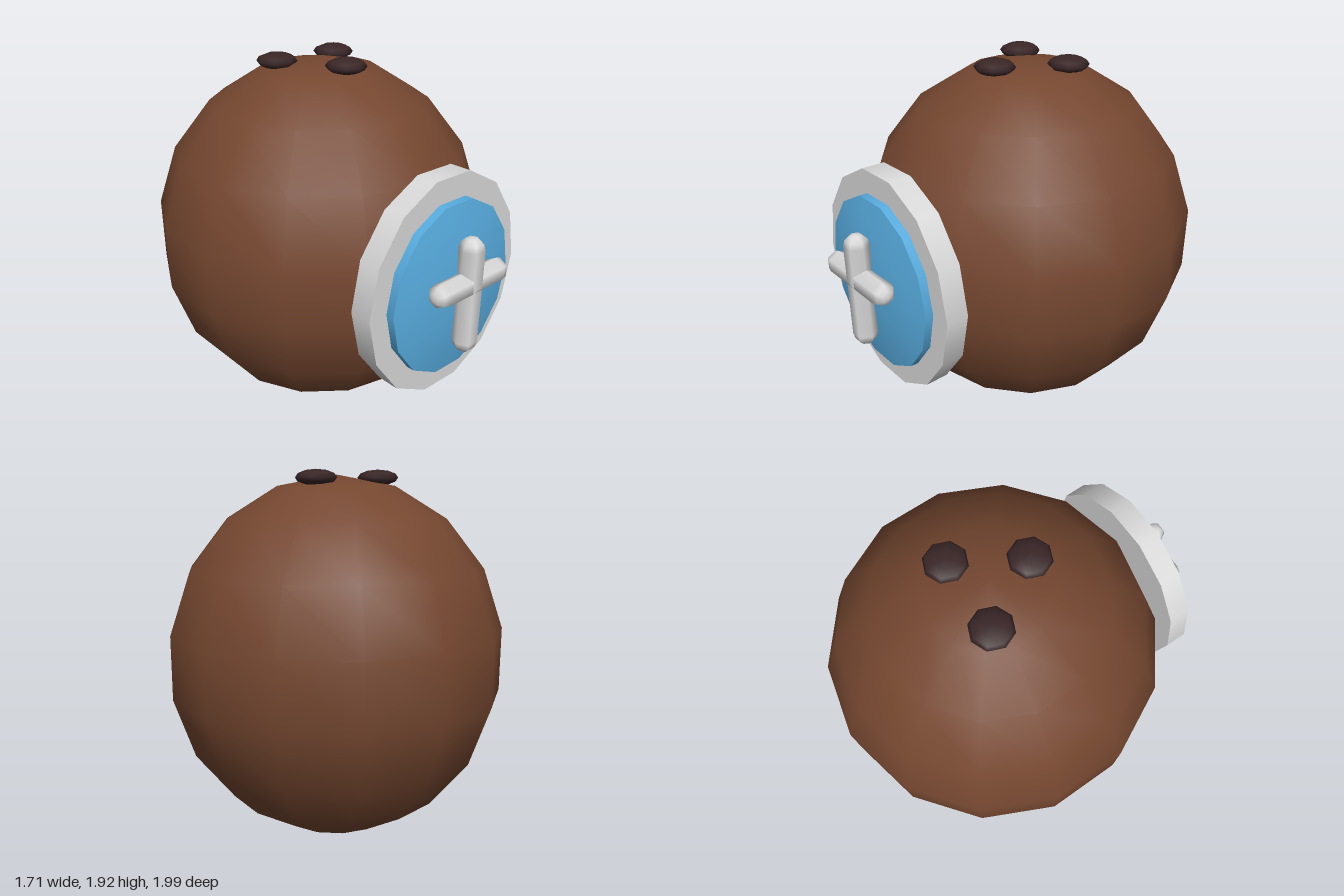
import * as THREE from 'three';

const mat = (name, color) => {
  const m = new THREE.MeshStandardMaterial({ color });
  m.name = name;
  return m;
};

export function createModel() {
  const group = new THREE.Group();
  const brown = mat('brown', 0x754730);
  const dark = mat('dark brown', 0x3a2627);
  const silver = mat('light grey', 0xdadada);
  const blue = mat('blue', 0x58ade0);

  const add = (name, geometry, material, x, y, z) => {
    const mesh = new THREE.Mesh(geometry, material);
    mesh.name = name;
    mesh.position.set(x, y, z);
    group.add(mesh);
    return mesh;
  };

  // Egg-shaped ball with corners on the front and back axis
  const ball = new THREE.SphereGeometry(1, 14, 9).rotateY(Math.PI / 2).scale(0.888, 0.948, 0.888);
  add('ball', ball, brown, 0, 0.953, -0.112);

  // Three flattened finger spots on top
  const spot = new THREE.SphereGeometry(1, 8, 6).scale(0.105, 0.04, 0.105);
  for (const [x, z] of [[-0.184, -0.224], [0.187, -0.216], [-0.005, 0.1]]) {
    add('fingerSpot', spot, dark, x, 1.885, z);
  }

  // Oval badge: thick rim disc, then a shallow domed face
  const turn = (g) => g.rotateY(Math.PI / 2).rotateX(Math.PI / 2);
  const rim = turn(new THREE.CylinderGeometry(1, 1, 0.117, 14)).scale(0.51, 0.57, 1);
  add('badgeRim', rim, silver, 0, 0.955, 0.757);

  const edge = turn(new THREE.CylinderGeometry(1, 1, 0.05, 14, 1, true)).scale(0.405, 0.449, 1);
  add('badgeFaceEdge', edge, blue, 0, 0.955, 0.833);

  const domeProfile = [[1, 0], [0.75, 0.022], [0.5, 0.037], [0.25, 0.046], [0, 0.049]]
    .map(([r, h]) => new THREE.Vector2(r, h));
  const dome = turn(new THREE.LatheGeometry(domeProfile, 14)).scale(0.405, 0.449, 1);
  add('badgeFace', dome, blue, 0, 0.955, 0.858);

  // Raised cross made of two six-sided capsules
  const r = 0.0615;
  add('crossUpright', new THREE.CapsuleGeometry(r, 0.482, 3, 6), silver, 0, 0.955, 0.946);
  const bar = new THREE.CapsuleGeometry(r, 0.379, 3, 6).rotateZ(Math.PI / 2);
  add('crossBar', bar, silver, 0, 1.026, 0.946);

  return group;
}
